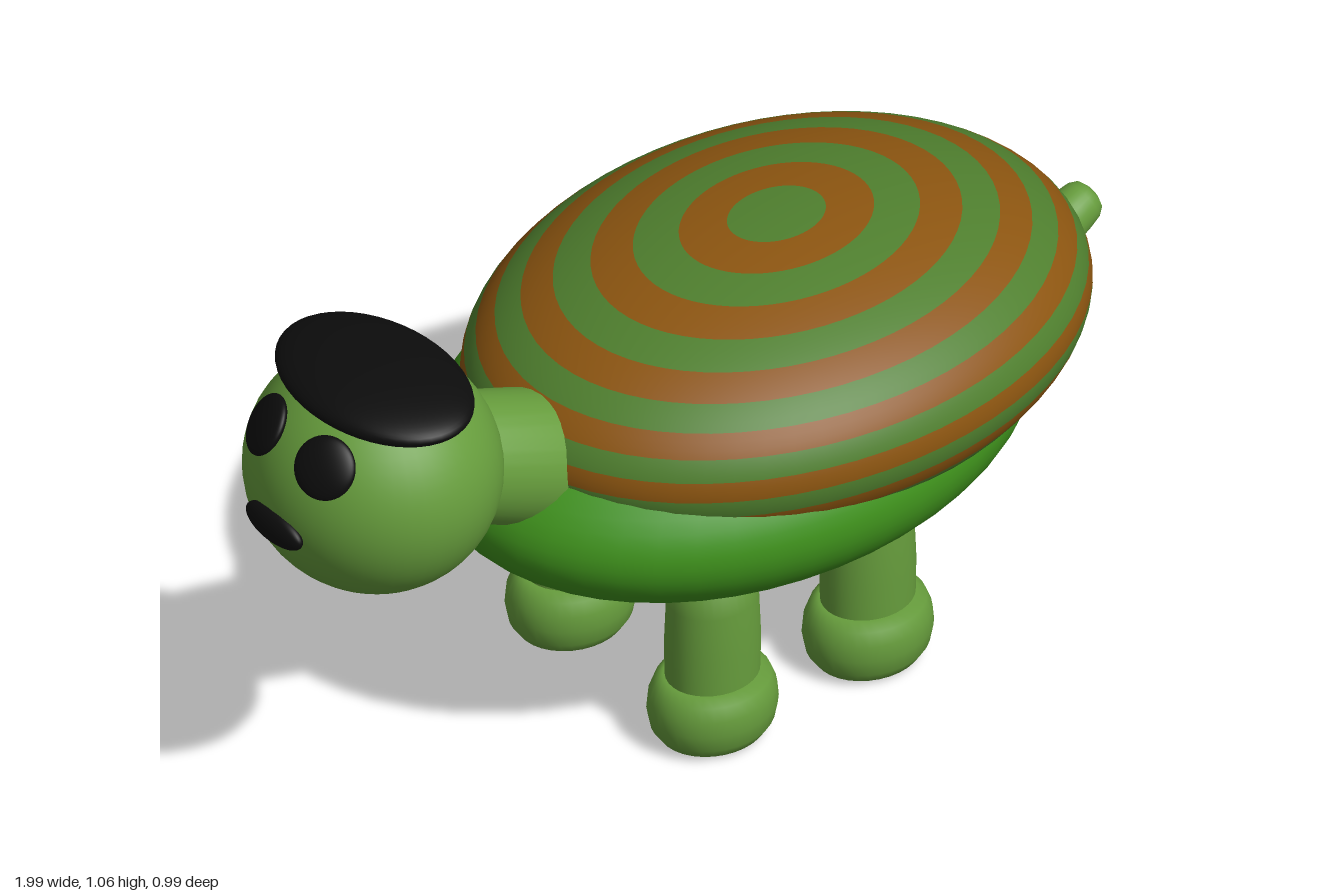
import * as THREE from 'three';

const mat = (color) => new THREE.MeshStandardMaterial({ color });

export function createModel() {
  const model = new THREE.Group();
  const skin = mat(0x669c3c), bellyGreen = mat(0x3f921c), black = mat(0x0c0c0c);
  const shellGreen = mat(0x4f7f2e), shellBrown = mat(0x8c5510);

  const add = (name, geometry, material, parent = model) => {
    const mesh = new THREE.Mesh(geometry, material);
    mesh.name = name;
    parent.add(mesh);
    return mesh;
  };
  const ellipsoid = (name, material, pos, radii) => {
    const mesh = add(name, new THREE.SphereGeometry(1, 48, 32), material);
    mesh.position.set(...pos);
    mesh.scale.set(...radii);
    return mesh;
  };
  const lathe = (points) =>
    new THREE.LatheGeometry(points.map(([r, y]) => new THREE.Vector2(r, y)), 32);
  // Stand a y-axis part at "from", pointing towards "to"
  const aim = (mesh, from, to) => {
    const a = new THREE.Vector3(...from), b = new THREE.Vector3(...to);
    mesh.position.copy(a);
    mesh.quaternion.setFromUnitVectors(new THREE.Vector3(0, 1, 0), b.sub(a).normalize());
  };

  // Shell: equal bands of latitude in alternating colours
  const shell = new THREE.Group();
  shell.name = 'shell';
  shell.position.set(0.24, 0.68, 0);
  shell.scale.set(0.65, 0.26, 0.497);
  model.add(shell);
  const bands = 20, step = Math.PI / bands;
  for (let i = 0; i < bands; i++) {
    const band = new THREE.SphereGeometry(1, 64, 3, 0, Math.PI * 2, i * step, step);
    add('shellBand', band, i % 2 ? shellBrown : shellGreen, shell);
  }

  ellipsoid('belly', bellyGreen, [0.13, 0.55, 0], [0.635, 0.245, 0.472]);

  // Head, cap and mouth; the face looks along -x
  const headPos = [-0.738, 0.815, 0.005];
  ellipsoid('head', skin, headPos, [0.242, 0.241, 0.253]);
  ellipsoid('cap', black, [-0.738, 1.018, 0.01], [0.155, 0.045, 0.229]);
  ellipsoid('mouth', black, [-0.976, 0.785, 0.005], [0.024, 0.035, 0.08]);

  // Eyes: flat discs lying on the head
  for (const side of [-1, 1]) {
    const pos = [-0.923, 0.945, 0.003 + side * 0.087];
    const eye = ellipsoid('eye', black, pos, [0.062, 0.02, 0.062]);
    aim(eye, pos, pos.map((v, i) => 2 * v - headPos[i]));
  }

  // Neck
  const neck = add('neck', lathe([[0, 0], [0.118, 0], [0.134, 0.38], [0.134, 0.38], [0, 0.38]]), skin);
  aim(neck, [-0.68, 0.815, 0.015], [-0.35, 0.655, 0.015]);
  neck.material = skin;

  // Tail with a blunt rounded tip
  const tail = add('tail', lathe([[0, 0], [0.062, 0], [0.058, 0.12], [0.047, 0.24],
    [0.043, 0.265], [0.034, 0.28], [0.018, 0.287], [0, 0.288]]), skin);
  aim(tail, [0.725, 0.525, 0.02], [0.985, 0.645, 0.02]);

  // Four legs with rounded feet, slightly longer along x
  const legGeo = lathe([[0.094, 0.1], [0.096, 0.22], [0.092, 0.32], [0.084, 0.42], [0, 0.43]]);
  const footGeo = lathe([[0, 0.003], [0.085, 0.003], [0.108, 0.012], [0.124, 0.035], [0.131, 0.07],
    [0.128, 0.102], [0.117, 0.13], [0.098, 0.145], [0, 0.146]]);
  for (const x of [-0.085, 0.29]) {
    for (const z of [-0.212, 0.211]) {
      const leg = new THREE.Group();
      leg.name = 'leg';
      leg.position.set(x, 0, z);
      leg.scale.set(1, 1, 0.87);
      add('legColumn', legGeo, skin, leg);
      add('foot', footGeo, skin, leg);
      model.add(leg);
    }
  }
  return model;
}
